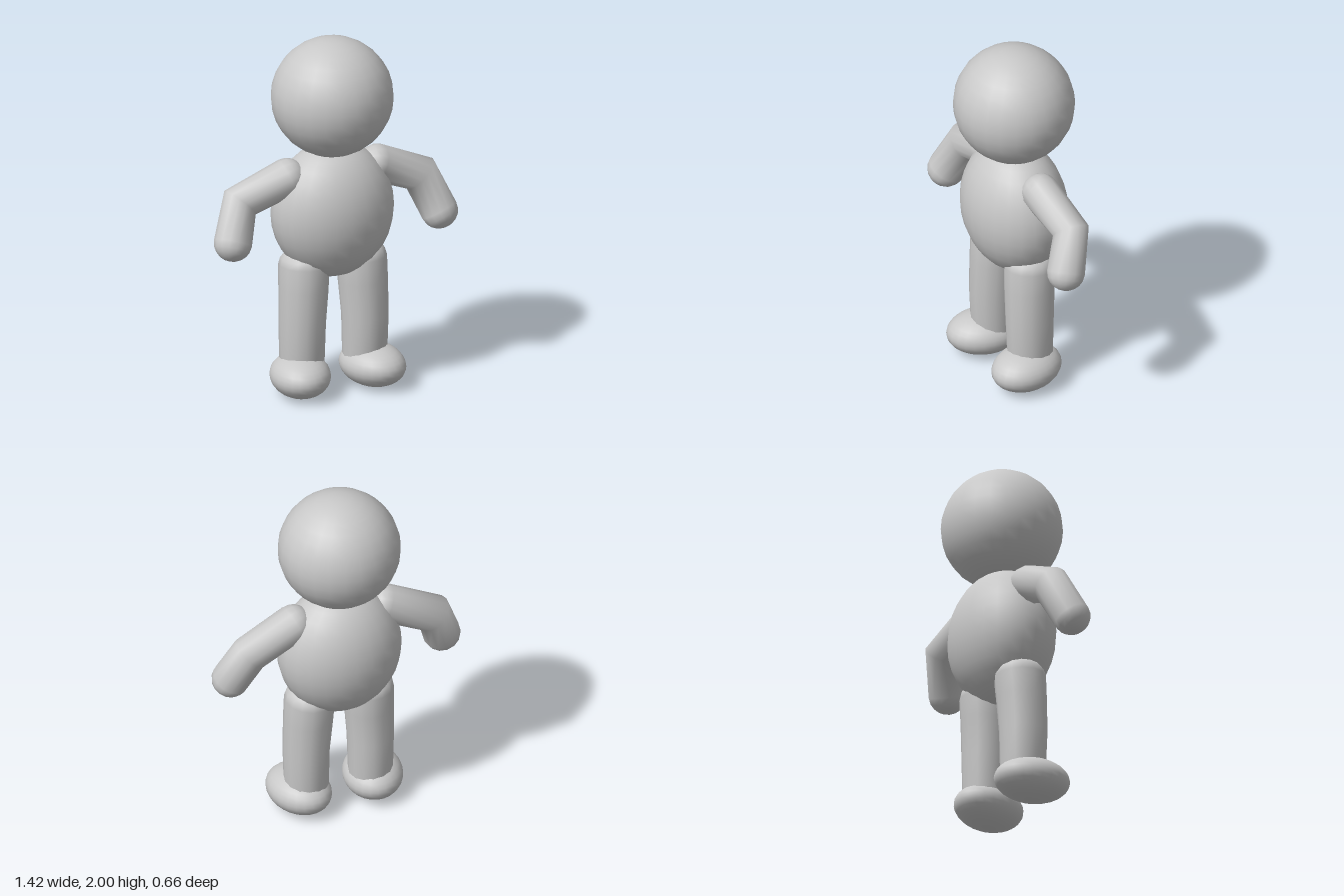
import * as THREE from 'three';
import { mergeVertices } from 'three/addons/utils/BufferGeometryUtils.js';

const SIDES = 14;

// Smooth round-ended limb through joints [x, y, z, radius across, radius in depth].
// caps = lengths of the rounded start and end.
function limbGeometry(joints, caps) {
  const pts = joints.map(j => new THREE.Vector3(j[0], j[1], j[2]));
  const last = pts.length - 1;
  const dirs = pts.map((p, i) => {
    const d = new THREE.Vector3();
    if (i > 0) d.add(p.clone().sub(pts[i - 1]).normalize());
    if (i < last) d.add(pts[i + 1].clone().sub(p).normalize());
    return d.normalize();
  });
  const rings = [];
  const addRing = (i, shift, scale) => rings.push({
    c: pts[i].clone().addScaledVector(dirs[i], shift),
    d: dirs[i], a: joints[i][3] * scale, b: joints[i][4] * scale,
  });
  const steps = [0, 0.3, 0.6, 0.9, 1.2];
  addRing(0, -caps[0], 0);
  for (const s of steps.slice(1)) addRing(0, -caps[0] * Math.cos(s), Math.sin(s));
  for (let i = 0; i <= last; i++) addRing(i, 0, 1);
  for (const s of steps.slice(1).reverse()) addRing(last, caps[1] * Math.cos(s), Math.sin(s));
  addRing(last, caps[1], 0);

  const pos = [], index = [];
  rings.forEach((r, i) => {
    const u = new THREE.Vector3(0, 0, 1).cross(r.d).normalize();
    const v = r.d.clone().cross(u);
    for (let k = 0; k < SIDES; k++) {
      const t = (k / SIDES) * Math.PI * 2;
      const p = r.c.clone().addScaledVector(u, r.a * Math.cos(t)).addScaledVector(v, r.b * Math.sin(t));
      pos.push(p.x, p.y, p.z);
      if (i < rings.length - 1) {
        const a = i * SIDES + k, b = i * SIDES + (k + 1) % SIDES;
        index.push(a, b, b + SIDES, a, b + SIDES, a + SIDES);
      }
    }
  });
  let g = new THREE.BufferGeometry();
  g.setAttribute('position', new THREE.Float32BufferAttribute(pos, 3));
  g.setIndex(index);
  g = mergeVertices(g, 1e-5);
  g.computeVertexNormals();
  return g;
}

export function createModel() {
  const group = new THREE.Group();
  const grey = new THREE.MeshStandardMaterial({ color: 0xc8c8c8 });
  grey.name = 'plain grey';

  const add = (name, geometry) => {
    const mesh = new THREE.Mesh(geometry, grey);
    mesh.name = name;
    group.add(mesh);
    return mesh;
  };
  const ellipsoid = (name, center, radii) => {
    const mesh = add(name, new THREE.SphereGeometry(1, 24, 16));
    mesh.position.set(...center);
    mesh.scale.set(...radii);
    return mesh;
  };

  // Head and egg-shaped torso
  ellipsoid('head', [0, 1.67, 0], [0.333, 0.33, 0.328]);
  ellipsoid('torso', [0, 1.025, 0], [0.345, 0.38, 0.27]);

  for (const s of [1, -1]) {
    const side = s > 0 ? 'left' : 'right';

    // Bent arm with a rounded hand
    add(side + 'Arm', limbGeometry([
      [s * 0.265, 1.245, 0, 0.105, 0.105],
      [s * 0.53, 1.13, -0.03, 0.108, 0.1],
      [s * 0.608, 0.935, 0.05, 0.104, 0.104],
    ], [0.1, 0.1]));

    // Straight leg, slightly tapered toward the ankle
    add(side + 'Leg', limbGeometry([
      [s * 0.17, 0.73, 0.005, 0.137, 0.143],
      [s * 0.175, 0.6, 0.012, 0.135, 0.138],
      [s * 0.185, 0.4, 0.017, 0.127, 0.133],
      [s * 0.185, 0.17, 0.014, 0.121, 0.125],
    ], [0.1, 0.04]));

    // Foot turned a little outward
    const foot = ellipsoid(side + 'Foot', [s * 0.213, 0.117, 0.054], [0.164, 0.117, 0.211]);
    foot.rotation.y = s * 0.22;
  }
  return group;
}
